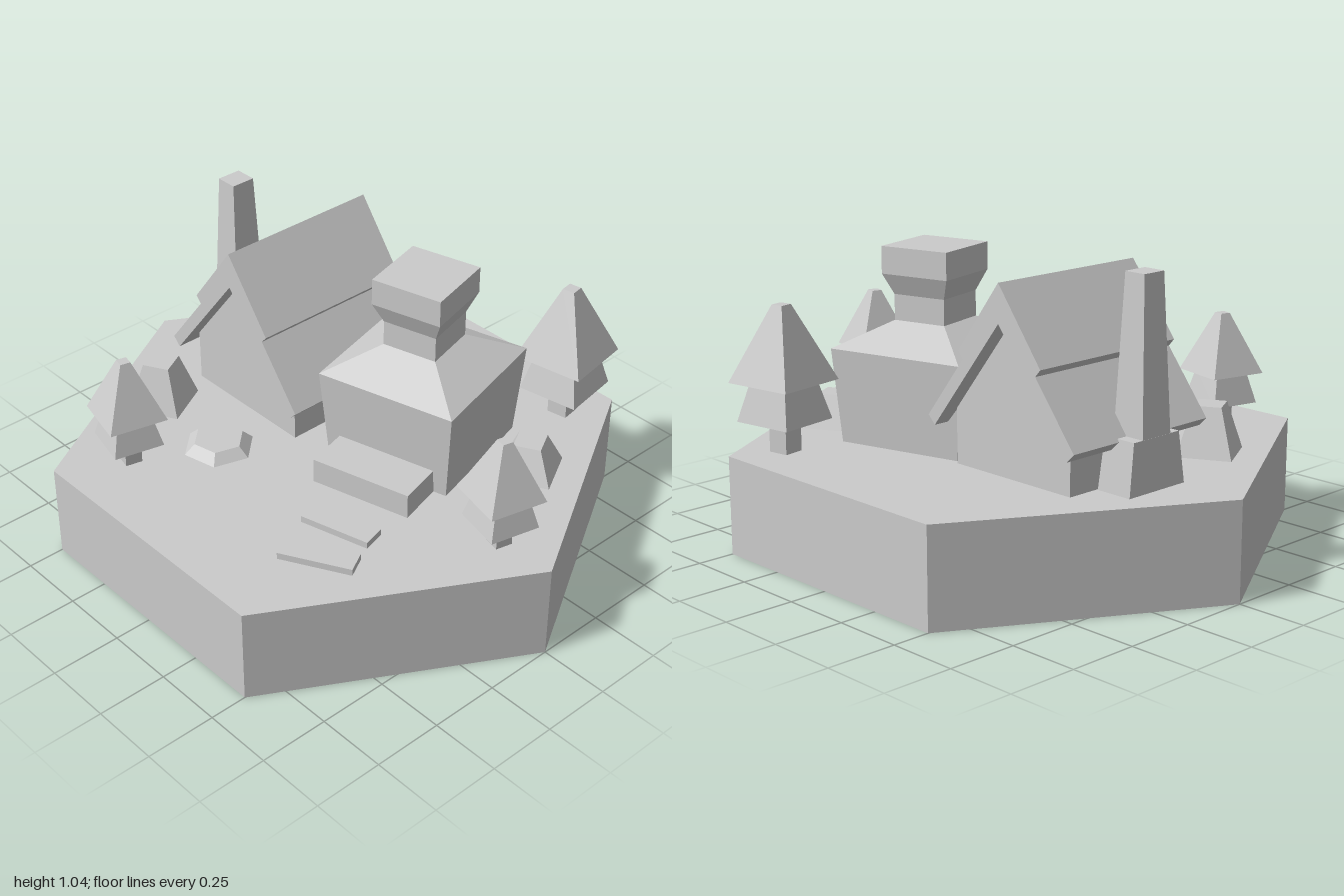
import * as THREE from 'three';

const GROUND = 0.345;
const mat = new THREE.MeshStandardMaterial({ color: 0xcccccc, flatShading: true });
const rad = THREE.MathUtils.degToRad;

function add(parent, name, geometry, x = 0, y = 0, z = 0, turn = 0) {
  const mesh = new THREE.Mesh(geometry, mat);
  mesh.name = name;
  mesh.position.set(x, y, z);
  mesh.rotation.y = rad(turn);
  parent.add(mesh);
  return mesh;
}

// Closed square tower from [half width, height] pairs, listed bottom to top
function squareStack(pairs) {
  const pts = [[0, pairs[0][1]], ...pairs, [0, pairs[pairs.length - 1][1]]]
    .map(([h, y]) => new THREE.Vector2(h * Math.SQRT2, y));
  return new THREE.LatheGeometry(pts, 4, Math.PI / 4);
}

// Profile across z, extruded along x and centred
function alongX(points, length) {
  const shape = new THREE.Shape(points.map(([a, b]) => new THREE.Vector2(a, b)));
  return new THREE.ExtrudeGeometry(shape, { depth: length, bevelEnabled: false })
    .translate(0, 0, -length / 2).rotateY(Math.PI / 2);
}

function makeTree(x, z, turn, size) {
  const tree = new THREE.Group();
  tree.name = 'tree';
  add(tree, 'trunk', squareStack([[0.03, 0], [0.03, 0.1]]));
  add(tree, 'lowerFoliage', squareStack([[0.09, 0.087], [0.062, 0.2]]));
  add(tree, 'upperFoliage', squareStack([[0.104, 0.195], [0.018, 0.405]]));
  tree.position.set(x, GROUND, z);
  tree.rotation.y = rad(turn);
  tree.scale.setScalar(size);
  return tree;
}

function makeHouse() {
  const house = new THREE.Group();
  house.name = 'house';
  // Gabled walls, set in from the roof ends
  add(house, 'walls', alongX(
    [[-0.26, GROUND], [0.26, GROUND], [0.26, 0.535], [0, 0.868], [-0.26, 0.535]], 0.5));
  // Two overlapping roof layers per slope
  const slope = [[0.187, 0.75], [0.165, 0.725], [0.333, 0.51], [0.303, 0.48]];
  const mirrored = slope.map(([a, b]) => [-a, b]).reverse();
  add(house, 'roof', alongX([[0, 0.997], ...slope, [0, 0.866], ...mirrored], 0.62));
  house.position.set(0.12, 0, -0.352);
  return house;
}

function makeChimney() {
  const chimney = new THREE.Group();
  chimney.name = 'chimney';
  add(chimney, 'chimneyBase', alongXTaper(0.128, 0.105, 0.068, 0.062, GROUND, 0.52));
  add(chimney, 'chimneyShaft', alongXTaper(0.065, 0.045, 0.062, 0.04, 0.51, 1.04));
  chimney.position.set(0.122, 0, -0.685);
  return chimney;
}

// Rectangular block whose half width and half depth change from bottom to top
function alongXTaper(w0, w1, d0, d1, y0, y1) {
  const g = new THREE.BoxGeometry(2, y1 - y0, 2).translate(0, (y0 + y1) / 2, 0);
  const p = g.attributes.position;
  for (let i = 0; i < p.count; i++) {
    const top = p.getY(i) > (y0 + y1) / 2;
    p.setX(i, p.getX(i) * (top ? w1 : w0));
    p.setZ(i, p.getZ(i) * (top ? d1 : d0));
  }
  g.computeVertexNormals();
  return g;
}

function makeKiln() {
  const kiln = new THREE.Group();
  kiln.name = 'towerHouse';
  // Flared walls, hipped shoulder, neck and wide cap
  add(kiln, 'towerBody', squareStack([
    [0.233, GROUND], [0.257, 0.675], [0.1, 0.763], [0.1, 0.853], [0.13, 0.925], [0.13, 1.02]]));
  add(kiln, 'doorStep', new THREE.BoxGeometry(0.2, 0.09, 0.37), -0.303, GROUND + 0.045, 0);
  kiln.position.set(0.19, 0, 0.212);
  kiln.rotation.y = rad(15);
  return kiln;
}

export function createModel() {
  const model = new THREE.Group();
  model.name = 'villageTile';

  add(model, 'hexBase', new THREE.CylinderGeometry(1, 1, GROUND, 6), 0, GROUND / 2, 0);
  model.add(makeHouse(), makeChimney(), makeKiln());

  // Trees: x, z, turn, size
  for (const t of [[-0.63, -0.378, -13.5, 1], [-0.016, 0.783, -13.5, 1], [0.688, 0.42, 9.5, 1.25]])
    model.add(makeTree(...t));

  // Boulders: x, z, height
  for (const [x, z, h] of [[-0.328, -0.585, 0.17], [0.345, 0.577, 0.118]])
    add(model, 'boulder', squareStack([[0.095, 0], [0.048, h]]), x, GROUND, z, 28.5);

  // Low six-sided mound
  add(model, 'mound', new THREE.CylinderGeometry(0.09, 0.127, 0.034, 6), -0.356, GROUND + 0.017, -0.235, 13);

  // Path slabs: x, z, turn
  for (const [x, z, turn] of [[-0.35, 0.388, 15], [-0.508, 0.457, 28.5]])
    add(model, 'pathSlab', new THREE.BoxGeometry(0.084, 0.024, 0.256), x, GROUND + 0.012, z, turn);

  return model;
}
